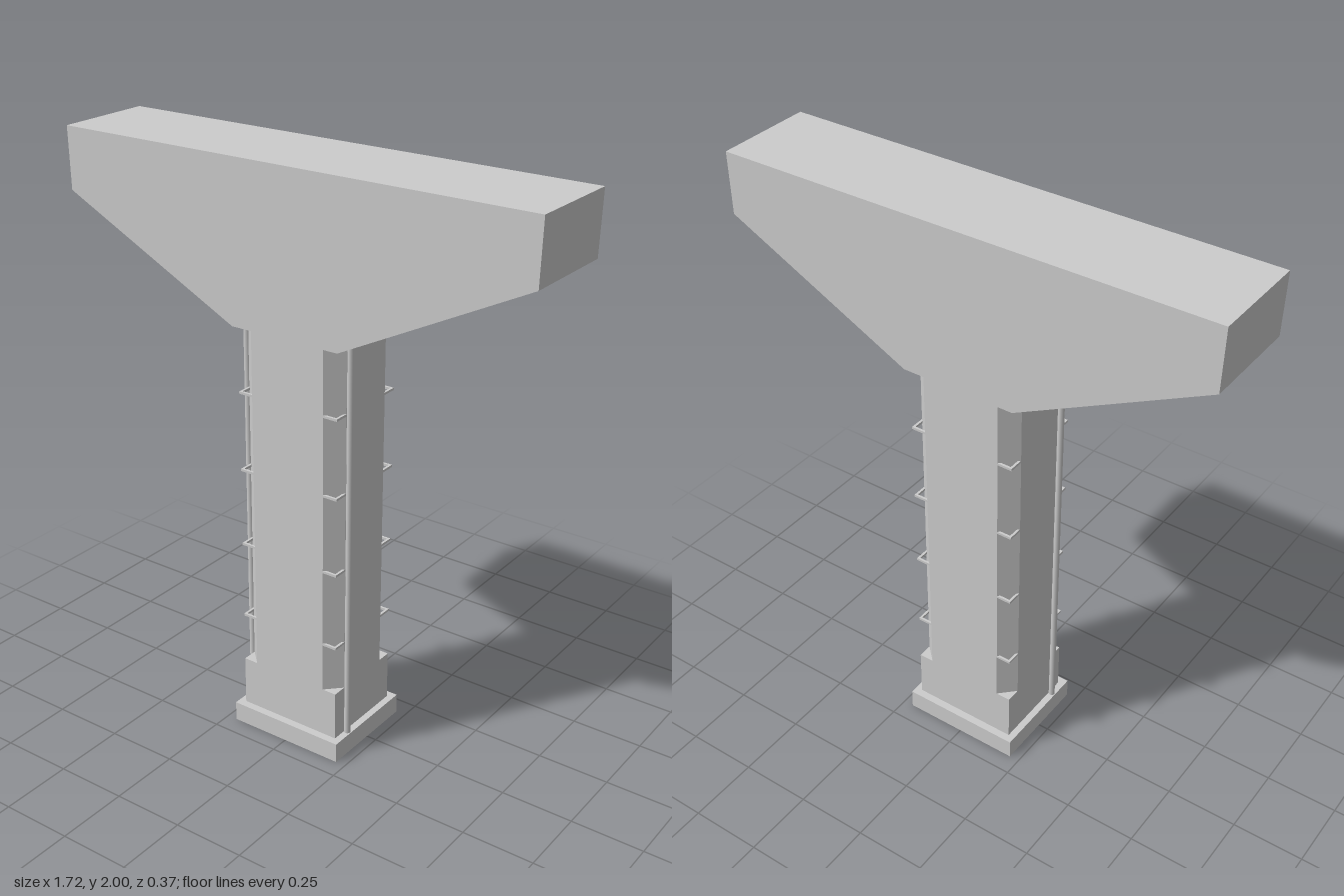
import * as THREE from 'three';

const HALF_X = 0.19, HALF_Z = 0.157, CUT = 0.052; // shaft half sizes and corner cut
const BASE_TOP = 0.07, CUT_START = 0.245, SHAFT_TOP = 1.465;

const concrete = new THREE.MeshStandardMaterial({ color: 0xcccccc });
concrete.name = 'concrete';

// Corner points of a rectangle with cut corners
function cutRectangle(x, z, c) {
  return [
    [x, -z + c], [x, z - c], [x - c, z], [-x + c, z],
    [-x, z - c], [-x, -z + c], [-x + c, -z], [x - c, -z],
  ].map(([a, b]) => new THREE.Vector2(a, b));
}

// Extrude a plan shape upwards from y0 to y1
function extrudeUp(shape, y0, y1) {
  return new THREE.ExtrudeGeometry(shape, { depth: y1 - y0, bevelEnabled: false })
    .rotateX(-Math.PI / 2).translate(0, y0, 0);
}

export function createModel() {
  const model = new THREE.Group();
  model.name = 'bridgePier';
  const add = (name, geometry, x = 0, y = 0, z = 0, parent = model) => {
    const mesh = new THREE.Mesh(geometry, concrete);
    mesh.name = name;
    mesh.position.set(x, y, z);
    parent.add(mesh);
    return mesh;
  };

  // Base frame, open underneath
  const frame = new THREE.Shape([[-1, -1], [1, -1], [1, 1], [-1, 1]]
    .map(([sx, sz]) => new THREE.Vector2(sx * 0.214, sz * 0.184)));
  frame.holes.push(new THREE.Path(cutRectangle(HALF_X, HALF_Z, CUT).reverse()));
  add('baseFrame', extrudeUp(frame, 0, BASE_TOP));

  // Shaft: square foot, then cut corners up to the cap
  add('shaftFoot', new THREE.BoxGeometry(HALF_X * 2, CUT_START - BASE_TOP, HALF_Z * 2),
    0, (BASE_TOP + CUT_START) / 2, 0);
  add('shaft', extrudeUp(new THREE.Shape(cutRectangle(HALF_X, HALF_Z, CUT)), CUT_START, SHAFT_TOP));

  // Hammerhead cap
  const cap = new THREE.Shape([
    [-0.2, 1.462], [0.2, 1.462], [0.855, 1.79], [0.86, 2], [-0.86, 2], [-0.855, 1.79],
  ].map(([x, y]) => new THREE.Vector2(x, y)));
  add('cap', new THREE.ExtrudeGeometry(cap, { depth: 0.345, bevelEnabled: false }), 0, 0, -0.1725);

  // Drain pipes on both sides
  for (const side of [-1, 1]) {
    add('drainPipe', new THREE.CylinderGeometry(0.011, 0.011, SHAFT_TOP - BASE_TOP, 10),
      side * 0.2, (BASE_TOP + SHAFT_TOP) / 2, 0.1);
  }

  // Bent tie bars bridging the cut corners
  const bar = 0.008;
  const ties = new THREE.Group();
  ties.name = 'tieBars';
  model.add(ties);
  for (const y of [0.42, 0.692, 0.964, 1.236]) {
    for (const sx of [-1, 1]) for (const sz of [-1, 1]) {
      add('tieBarAcross', new THREE.BoxGeometry(CUT, bar, bar),
        sx * (HALF_X - CUT / 2), y, sz * (HALF_Z - bar / 2), ties);
      add('tieBarAlong', new THREE.BoxGeometry(bar, bar, CUT - bar),
        sx * (HALF_X - bar / 2), y, sz * (HALF_Z - bar - (CUT - bar) / 2), ties);
    }
  }
  return model;
}
